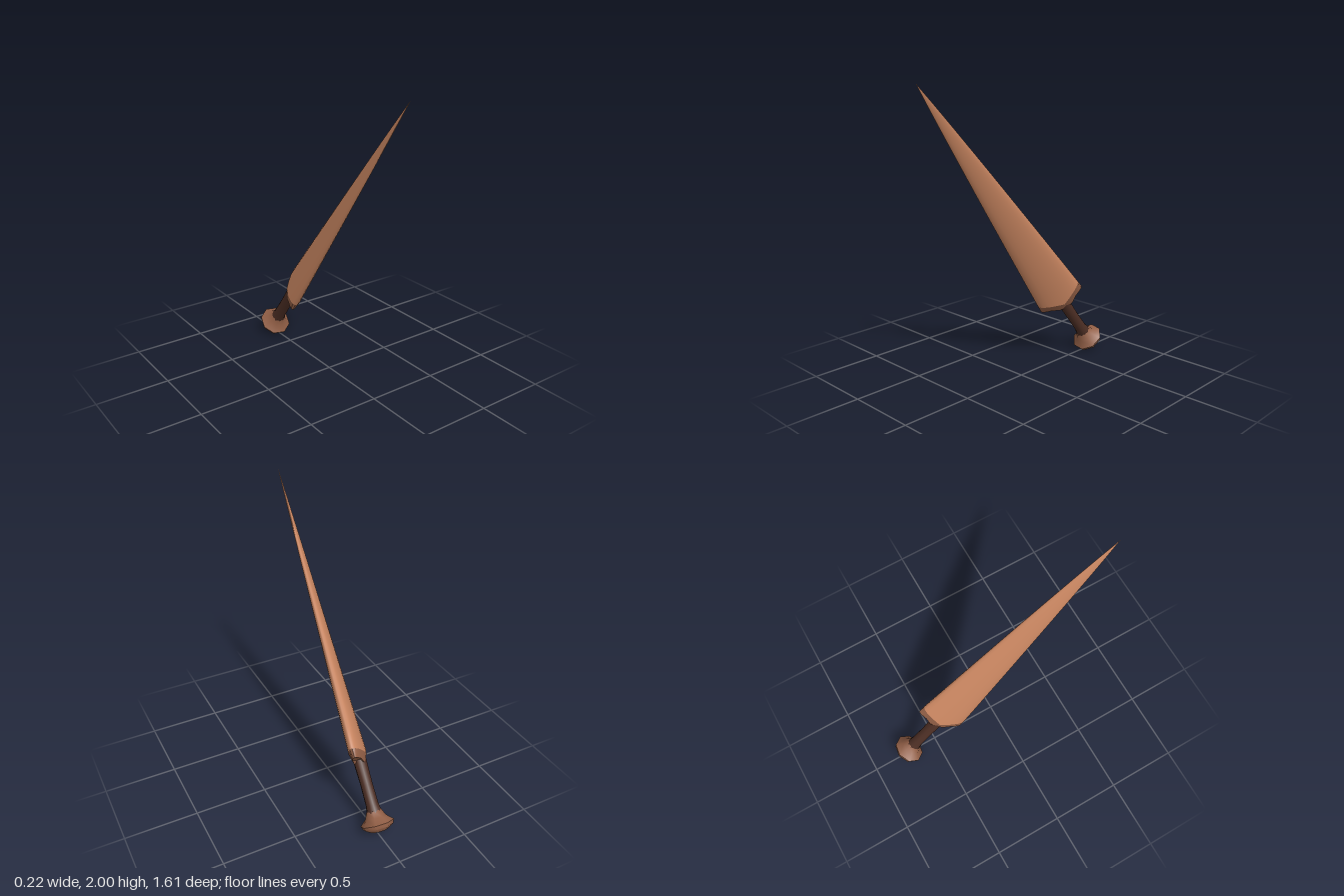
import * as THREE from 'three';
import { toCreasedNormals } from 'three/addons/utils/BufferGeometryUtils.js';

const SIDES = 20, TIP = 2.457, HALF_WIDTH = 0.173, HALF_THICK = 0.055;

// piecewise linear lookup in a list of [x, y]
function lookup(points, x) {
  for (let i = 1; i < points.length; i++) {
    const [x0, y0] = points[i - 1], [x1, y1] = points[i];
    if (x <= x1) return y0 + (y1 - y0) * (x - x0) / (x1 - x0);
  }
  return points[points.length - 1][1];
}

// closed rings of SIDES points, joined from bottom to top
function loft(ringCount, pointAt) {
  const positions = [], index = [];
  for (let k = 0; k < ringCount; k++) {
    for (let i = 0; i < SIDES; i++) positions.push(...pointAt(k, i / SIDES * Math.PI * 2));
  }
  for (let k = 0; k < ringCount - 1; k++) {
    for (let i = 0; i < SIDES; i++) {
      const a = k * SIDES + i, b = k * SIDES + (i + 1) % SIDES;
      index.push(a, a + SIDES, b, b, a + SIDES, b + SIDES);
    }
  }
  const geo = new THREE.BufferGeometry();
  geo.setAttribute('position', new THREE.Float32BufferAttribute(positions, 3));
  geo.setIndex(index);
  geo.computeVertexNormals();
  return geo;
}

// scalloped lines where blade meets shoulder, and the shoulder's lower edge
const bladeLine = [[0, 0.472], [0.4, 0.503], [1, 0.542]];
const lowerLine = [[0, 0.42], [0.3, 0.425], [0.55, 0.458], [1, 0.482]];

// lens-shaped section at height u
function section(u, angle, thickness = 1) {
  const t = Math.min(1, (u - 0.48) / (TIP - 0.48));
  const taper = Math.max(0.004, Math.pow(Math.max(0, 1 - Math.max(0, t)), 0.9));
  return [Math.cos(angle) * HALF_WIDTH * taper, u, Math.sin(angle) * HALF_THICK * taper * thickness];
}

export function createModel() {
  const bronze = new THREE.MeshStandardMaterial({ color: 0xc88560 });
  bronze.name = 'bronze blade';
  const brown = new THREE.MeshStandardMaterial({ color: 0x925f46 });
  brown.name = 'brown fittings';
  const dark = new THREE.MeshStandardMaterial({ color: 0x4c2e24 });
  dark.name = 'dark grip';

  const sword = new THREE.Group();
  sword.name = 'sword';
  const add = (name, geometry, material) => {
    const mesh = new THREE.Mesh(geometry, material);
    mesh.name = name;
    sword.add(mesh);
  };

  // blade
  const steps = 14;
  add('blade', loft(steps + 1, (k, angle) => {
    const start = lookup(bladeLine, Math.abs(Math.cos(angle)));
    return section(start + (TIP - start) * k / steps, angle);
  }), bronze);

  // bevelled shoulder, closed underneath
  const shoulder = loft(3, (k, angle) => {
    const s = Math.abs(Math.cos(angle));
    if (k === 0) return [0, 0.44, 0];
    return k === 1 ? section(lookup(lowerLine, s), angle, 0.65) : section(lookup(bladeLine, s), angle);
  });
  add('shoulder', toCreasedNormals(shoulder, 0.5), brown);

  // grip
  const lathe = (profile, sides) => new THREE.LatheGeometry(profile.map(([r, y]) => new THREE.Vector2(r, y)), sides);
  add('grip', lathe([[0.052, 0.085], [0.043, 0.14], [0.041, 0.28], [0.045, 0.46]], 10), dark);

  // pommel
  const pommel = lathe([[0, -0.045], [0.06, -0.036], [0.104, -0.01], [0.114, 0.015],
    [0.07, 0.055], [0.05, 0.1], [0, 0.1]], 8);
  add('pommel', toCreasedNormals(pommel, 0.85), brown);

  // lean the sword: local y runs to the tip, local x across the blade
  const base = new THREE.Vector3(0, 0.07, -0.72);
  const along = new THREE.Vector3(-0.045, 2, 0.8).sub(base).normalize();
  const across = new THREE.Vector3(0.18, 0.18, -0.225);
  across.addScaledVector(along, -across.dot(along)).normalize();
  const normal = new THREE.Vector3().crossVectors(across, along);
  sword.quaternion.setFromRotationMatrix(new THREE.Matrix4().makeBasis(across, along, normal));
  sword.position.copy(base);

  const model = new THREE.Group();
  model.name = 'model';
  model.add(sword);
  return model;
}
